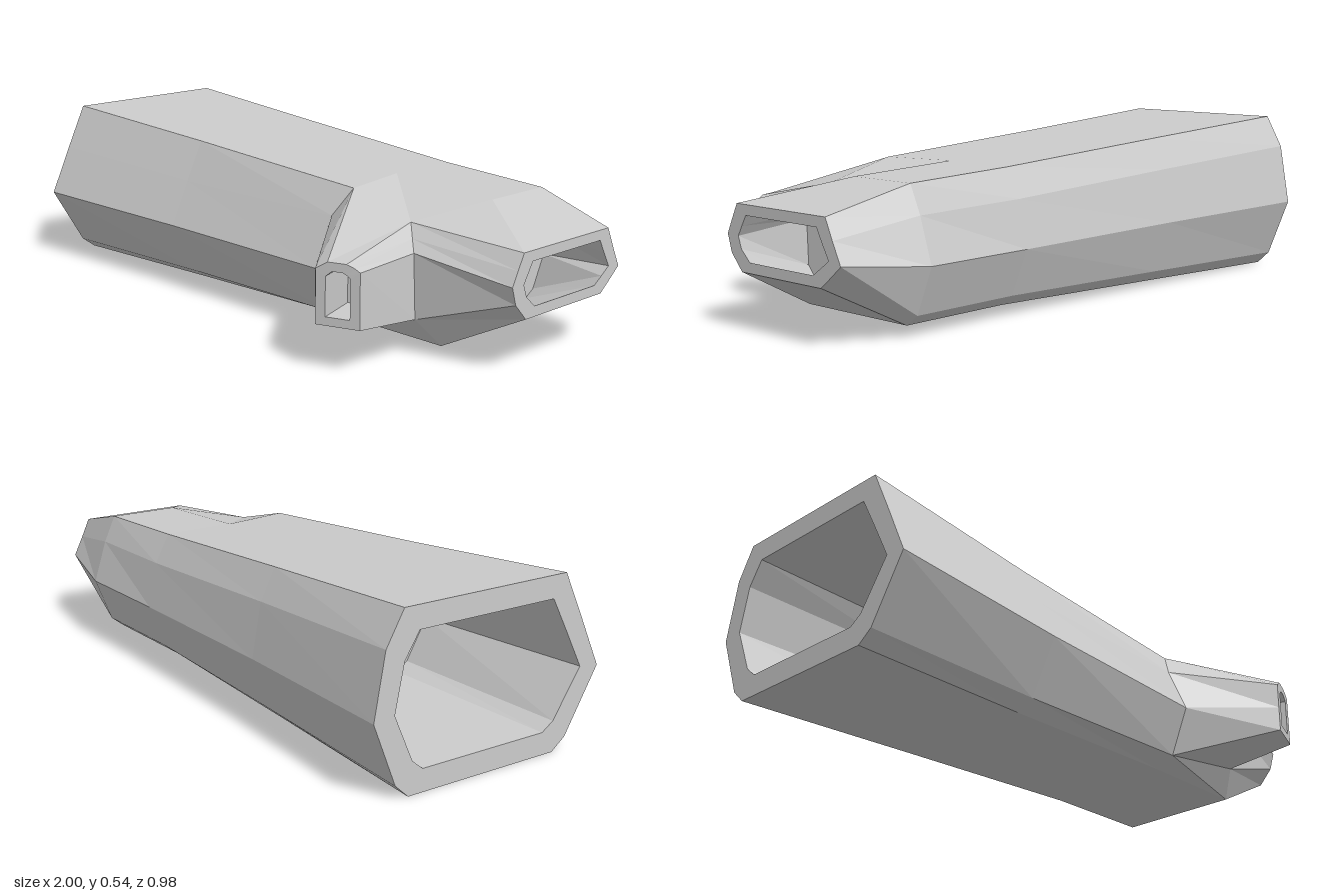
import * as THREE from 'three';

// Skins a sequence of equal-length loops, with a fan cap at either end on request.
// skip(s, i) leaves out single quads.
function loft(name, loops, { capStart = false, capEnd = false, skip = () => false } = {}) {
  const pos = [];
  const tri = (...pts) => pts.forEach((p) => pos.push(...p));
  for (let s = 0; s < loops.length - 1; s++) {
    const a = loops[s], b = loops[s + 1], n = a.length;
    for (let i = 0; i < n; i++) {
      if (skip(s, i)) continue;
      const j = (i + 1) % n;
      tri(a[i], a[j], b[j]);
      tri(a[i], b[j], b[i]);
    }
  }
  const cap = (loop, flip) => {
    const c = centre(loop);
    loop.forEach((p, i) => {
      const q = loop[(i + 1) % loop.length];
      if (flip) tri(c, q, p);
      else tri(c, p, q);
    });
  };
  if (capStart) cap(loops[0], true);
  if (capEnd) cap(loops[loops.length - 1], false);
  const geo = new THREE.BufferGeometry();
  geo.setAttribute('position', new THREE.Float32BufferAttribute(pos, 3));
  geo.computeVertexNormals();
  const mesh = new THREE.Mesh(geo, new THREE.MeshStandardMaterial({
    color: 0xcccccc, flatShading: true, side: THREE.DoubleSide,
  }));
  mesh.name = name;
  return mesh;
}

// Middle of a loop's bounding box
function centre(loop) {
  return [0, 1, 2].map((k) => {
    const v = loop.map((p) => p[k]);
    return (Math.min(...v) + Math.max(...v)) / 2;
  });
}

// Shrinks a loop about its middle
function inset(loop, scale) {
  const c = centre(loop);
  return loop.map((p) => p.map((v, k) => c[k] + (v - c[k]) * scale[k]));
}

// Cross-section at x from [z, y] points: front top, down the front,
// along the bottom, up the back and over the top
const section = (x, pts) => pts.map(([z, y]) => [x, y, z]);

export function createModel() {
  const group = new THREE.Group();
  group.name = 'sleeve';

  const cuff = section(-1, [
    [0.2, 0.545], [0.27, 0.4], [0.345, 0.24], [0.225, 0.04], [0.175, 0.003], [-0.365, 0.003],
    [-0.41, 0.045], [-0.487, 0.24], [-0.45, 0.44], [-0.39, 0.545], [-0.09, 0.545],
  ]);
  const middle = section(-0.35, [
    [0.167, 0.505], [0.23, 0.375], [0.298, 0.23], [0.205, 0.052], [0.15, 0.018], [-0.335, 0.018],
    [-0.38, 0.057], [-0.442, 0.23], [-0.41, 0.405], [-0.36, 0.505], [-0.09, 0.505],
  ]);
  const palm = section(0.325, [
    [0.15, 0.462], [0.2, 0.375], [0.27, 0.22], [0.205, 0.065], [0.135, 0.035], [-0.31, 0.035],
    [-0.355, 0.07], [-0.415, 0.22], [-0.385, 0.37], [-0.335, 0.463], [-0.09, 0.464],
  ]);
  palm[0][0] = 0.37;
  const knuckle = section(0.72, [
    [0.15, 0.4], [0.175, 0.36], [0.197, 0.325], [0.19, 0.12], [0.127, 0.035], [-0.31, 0.035],
    [-0.355, 0.07], [-0.415, 0.22], [-0.37, 0.36], [-0.33, 0.448], [-0.09, 0.448],
  ]);
  [0.61, 0.64, 0.667, 0.67].forEach((x, i) => { knuckle[i][0] = x; });
  const mouth = section(1, [
    [0.105, 0.378], [0.13, 0.33], [0.152, 0.285], [0.135, 0.23], [0.087, 0.178], [-0.27, 0.178],
    [-0.312, 0.212], [-0.355, 0.248], [-0.322, 0.315], [-0.293, 0.378], [-0.09, 0.378],
  ]);

  // Main tube with a deep recess in each end; the gap in its front takes the branch
  const body = [
    inset(middle, [1, 0.75, 0.83]), inset(cuff, [1, 0.74, 0.83]),
    cuff, middle, palm, knuckle, mouth,
    inset(mouth, [1, 0.68, 0.8]), inset(section(0.72, knuckle.map((p) => [p[2], p[1]])), [1, 0.7, 0.8]),
  ];
  group.add(loft('mainTube', body, {
    capStart: true, capEnd: true, skip: (s, i) => s === 4 && i < 3,
  }));

  // Tapered side branch, starting on the rim of that gap, with a recessed tip
  const base = [...palm.slice(0, 4), ...knuckle.slice(0, 4).reverse()];
  const tip = [
    [0.59, 0.338, 0.474], [0.555, 0.315, 0.488], [0.555, 0.23, 0.488], [0.555, 0.147, 0.488],
    [0.685, 0.147, 0.437], [0.685, 0.318, 0.437], [0.668, 0.329, 0.443], [0.645, 0.338, 0.452],
  ];
  const hole = inset(tip, [0.55, 0.72, 0.55]);
  const floor = hole.map(([x, y, z]) => [x - 0.05, y, z - 0.14]);
  group.add(loft('sideBranch', [base, tip, hole, floor], { capEnd: true }));

  return group;
}
